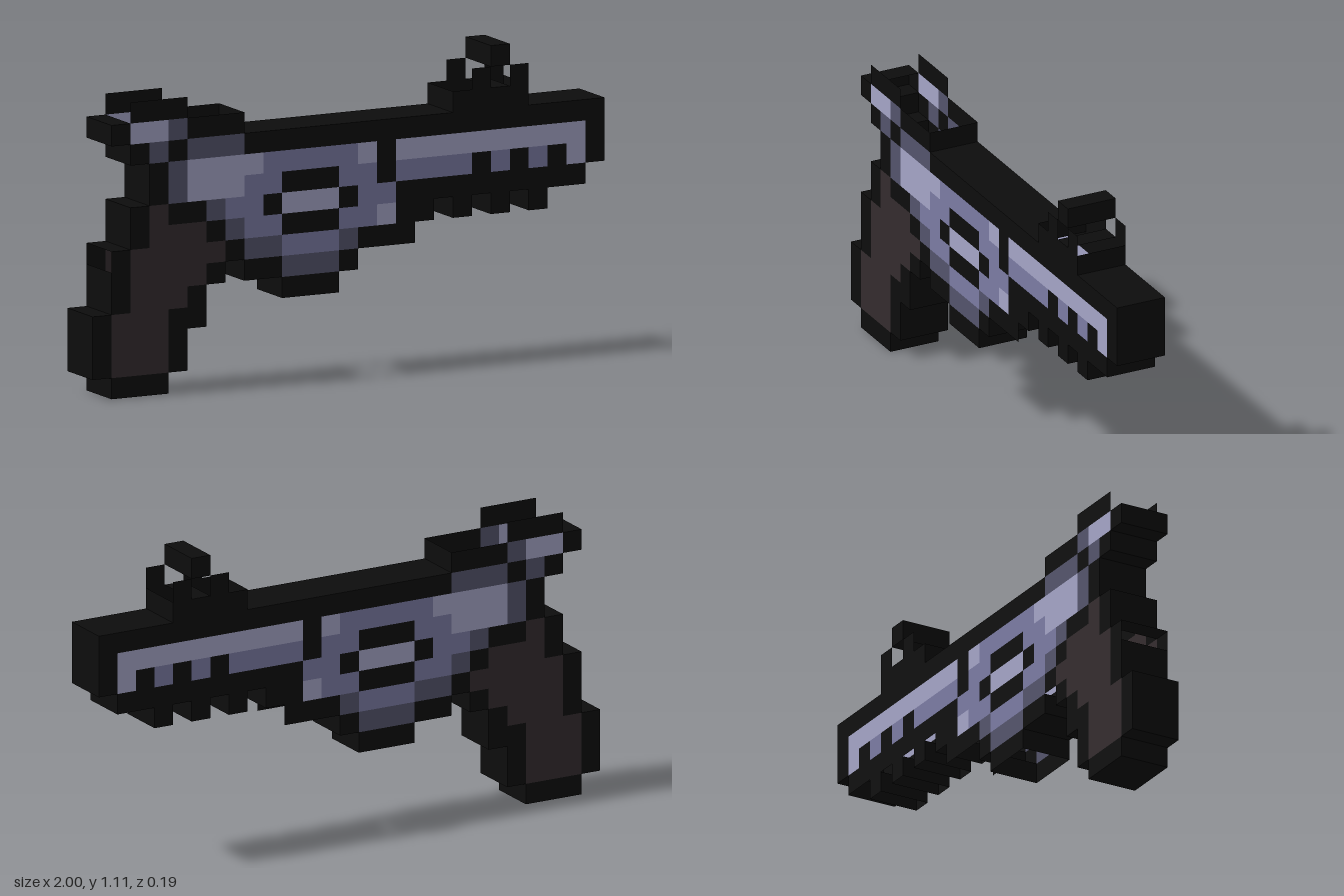
import * as THREE from 'three';
import { mergeGeometries } from 'three/addons/utils/BufferGeometryUtils.js';

// Pixel pattern: K outline, L highlight, P steel, S shaded steel, B grip
const ROWS = [
  '.....................K.....',
  '..KKK...............K.K....',
  '.KLLSKKK...........KKKK....',
  '..KSKSSSKKKKKKKKKKKKKKKKKKK',
  '...KSLLLLPPPPPLKLLLLLLLLLLK',
  '...KSLLLPPKKKPPKPPPPKPKPKLK',
  '..KBKKSPPKLLLKPPKKKKKKKKKK.',
  '..KBBBKSPPKKKPPLKK.K.K.K...',
  '.KBBBBBKSSPPPSKKK..........',
  '.KBBBBK.KKSSSK.............',
  '.KBBBK....KKK..............',
  'KBBBKK.....................',
  'KBBBK......................',
  'KBBBK......................',
  '.KKK.......................',
];
const CELL = 2 / 27;
const HALF = 0.093;

// Columns and rows where the rim is open between the two face plates
const OPEN_TOP = new Set([2, 3, 4, 5, 6, 7, 19, 20, 22]);
const openBottom = (c) => c === 4 || c === 6 || c === 7 || (c >= 10 && c <= 25 && c !== 13);
const OPEN_SIDE = new Set([1, 8]);

const PARTS = {
  K: ['outline', 0x0d0d0d],
  L: ['highlightPanel', 0xa5a5c7],
  P: ['steelBody', 0x7b7ba3],
  S: ['shadedSteel', 0x54546c],
  B: ['grip', 0x342c2e],
};

const at = (r, c) => (ROWS[r] && ROWS[r][c]) || '.';
const xOf = (c) => -1 + c * CELL;
const yOf = (r) => (ROWS.length - r) * CELL;

// A rectangle turned about x then y, and moved into place
function panel(w, h, rx, ry, x, y, z) {
  return new THREE.PlaneGeometry(w, h).rotateX(rx).rotateY(ry).translate(x, y, z);
}

export function createModel() {
  const group = new THREE.Group();
  group.name = 'pixelPistol';
  const plates = { K: [], L: [], P: [], S: [], B: [] };
  const rim = [];
  const Q = Math.PI / 2;

  ROWS.forEach((row, r) => {
    const y = yOf(r + 0.5);

    // Front and back plates, one strip for each run of a colour
    for (let c = 0; c < row.length;) {
      let end = c + 1;
      while (end < row.length && row[end] === row[c]) end++;
      if (row[c] !== '.') {
        const w = (end - c) * CELL;
        const x = xOf((c + end) / 2);
        plates[row[c]].push(
          panel(w, CELL, 0, 0, x, y, HALF),
          panel(w, CELL, 0, Math.PI, x, y, -HALF));
      }
      c = end;
    }

    // Rim walls around the silhouette
    for (let c = 0; c < row.length; c++) {
      if (row[c] === '.') continue;
      const x = xOf(c + 0.5);
      const d = HALF * 2;
      const topOpen = OPEN_TOP.has(c) && r < 3;
      if (at(r - 1, c) === '.' && !topOpen) rim.push(panel(CELL, d, -Q, 0, x, yOf(r), 0));
      if (at(r + 1, c) === '.' && !openBottom(c)) rim.push(panel(CELL, d, Q, 0, x, yOf(r + 1), 0));
      if (OPEN_SIDE.has(r)) continue;
      if (at(r, c + 1) === '.') rim.push(panel(d, CELL, 0, Q, xOf(c + 1), y, 0));
      if (at(r, c - 1) === '.') rim.push(panel(d, CELL, 0, -Q, xOf(c), y, 0));
    }
  });

  for (const [key, [name, color]] of Object.entries(PARTS)) {
    const material = new THREE.MeshStandardMaterial({ color, side: THREE.DoubleSide });
    material.name = name + 'Colour';
    const add = (list, label) => {
      const mesh = new THREE.Mesh(mergeGeometries(list), material);
      mesh.name = label;
      group.add(mesh);
    };
    add(plates[key], name);
    if (key === 'K') add(rim, 'outlineRim');
  }
  return group;
}
